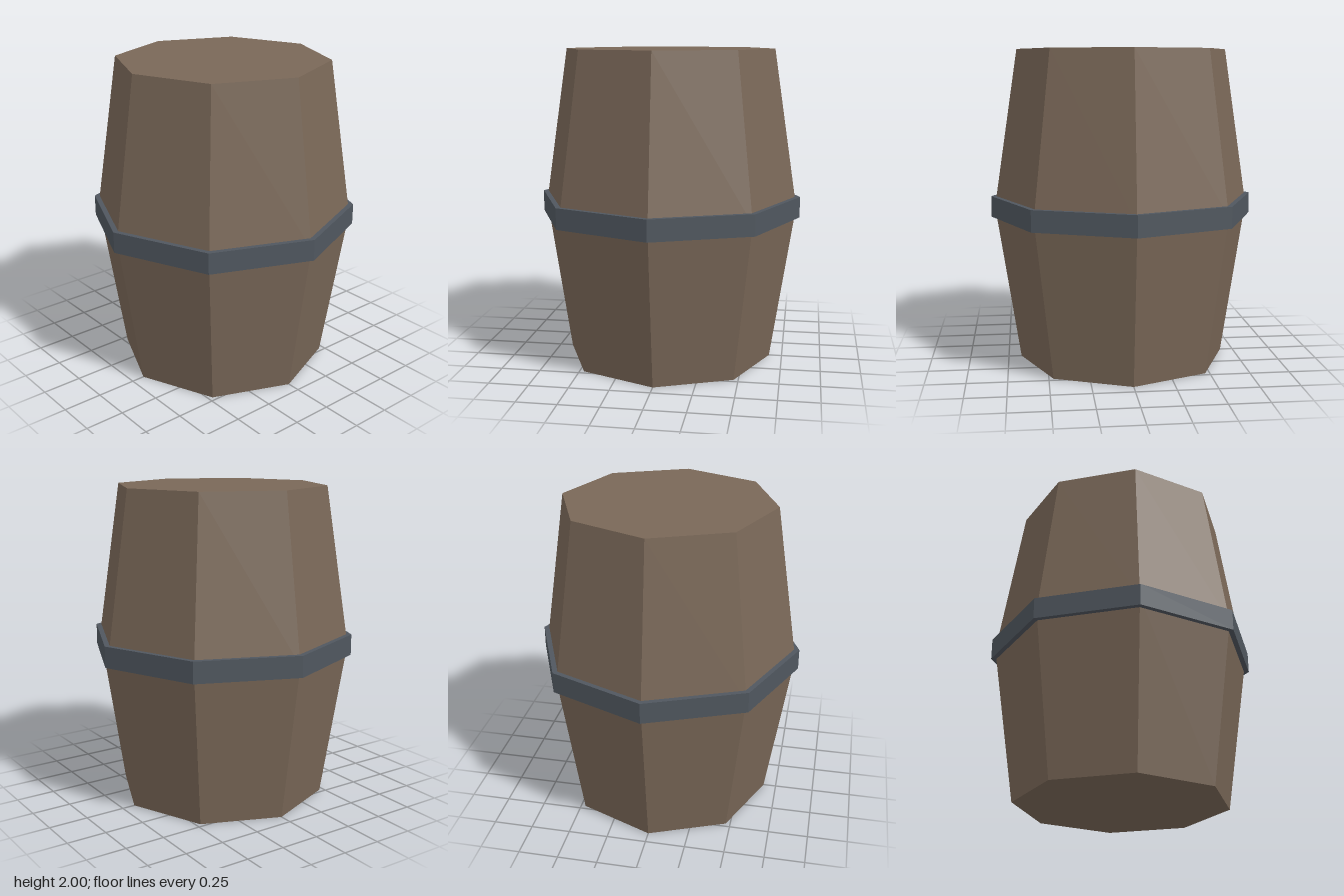
import * as THREE from 'three';

const SIDES = 8;

// Eight-sided solid turned from a bottom-to-top [radius, height] profile
function turned(name, profile, material) {
  const points = profile.map(([r, y]) => new THREE.Vector2(r, y));
  const geometry = new THREE.LatheGeometry(points, SIDES).toNonIndexed();
  geometry.computeVertexNormals(); // flat facets
  const mesh = new THREE.Mesh(geometry, material);
  mesh.name = name;
  return mesh;
}

export function createModel() {
  const wood = new THREE.MeshStandardMaterial({ color: 0x7a6858 });
  wood.name = 'wood';
  wood.flatShading = true;
  const iron = new THREE.MeshStandardMaterial({ color: 0x50575f });
  iron.name = 'iron';
  iron.flatShading = true;

  const barrel = new THREE.Group();
  barrel.name = 'barrel';

  // Staves with flat lids, widest at the middle
  barrel.add(turned('barrelBody', [[0, 0], [0.667, 0], [0.82, 1], [0.667, 2], [0, 2]], wood));

  // Iron hoop around the middle, its inner edge tucked into the staves
  barrel.add(turned('hoop', [[0.8, 0.935], [0.843, 0.935], [0.843, 1.068], [0.8, 1.068]], iron));

  return barrel;
}
